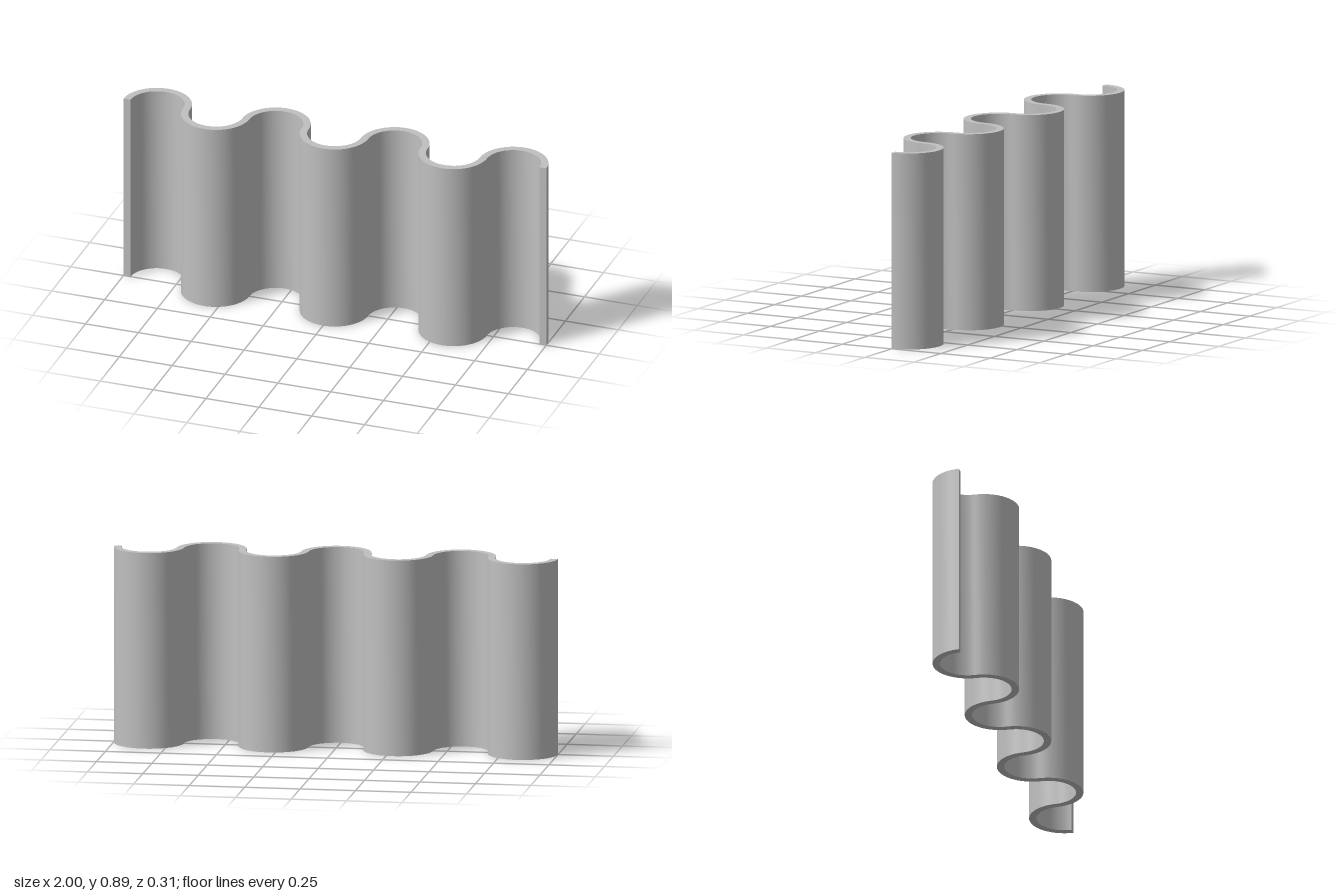
import * as THREE from 'three';
import { toCreasedNormals } from 'three/addons/utils/BufferGeometryUtils.js';

const ARCS = 7;         // half rings, alternating back and front
const STEPS = 28;       // facets per half ring
const OUTER = 0.157;
const HEIGHT = 0.886;
const PITCH = (2 - 2 * OUTER) / (ARCS - 1);
const INNER = PITCH - OUTER;

// One edge of the wavy strip, from left to right, without doubled joints
function waveEdge(evenRadius, oddRadius) {
  const points = [];
  for (let i = 0; i < ARCS; i++) {
    const even = i % 2 === 0;
    const radius = even ? evenRadius : oddRadius;
    const centre = (i - (ARCS - 1) / 2) * PITCH;
    for (let s = i === 0 ? 0 : 1; s <= STEPS; s++) {
      const a = Math.PI * (1 - s / STEPS);
      const y = Math.sin(a) * radius * (even ? 1 : -1);
      points.push(new THREE.Vector2(centre + Math.cos(a) * radius, y));
    }
  }
  return points;
}

export function createModel() {
  const group = new THREE.Group();
  group.name = 'corrugatedPanel';

  const grey = new THREE.MeshStandardMaterial({ color: 0xc0c0c0 });
  grey.name = 'light grey';

  // Closed outline: back edge, then the front edge in reverse
  const outline = [...waveEdge(OUTER, INNER), ...waveEdge(INNER, OUTER).reverse()];
  const extruded = new THREE.ExtrudeGeometry(new THREE.Shape(outline), {
    depth: HEIGHT, bevelEnabled: false,
  });
  extruded.rotateX(-Math.PI / 2);

  const sheet = new THREE.Mesh(toCreasedNormals(extruded, Math.PI / 6), grey);
  sheet.name = 'wavySheet';
  group.add(sheet);
  return group;
}
